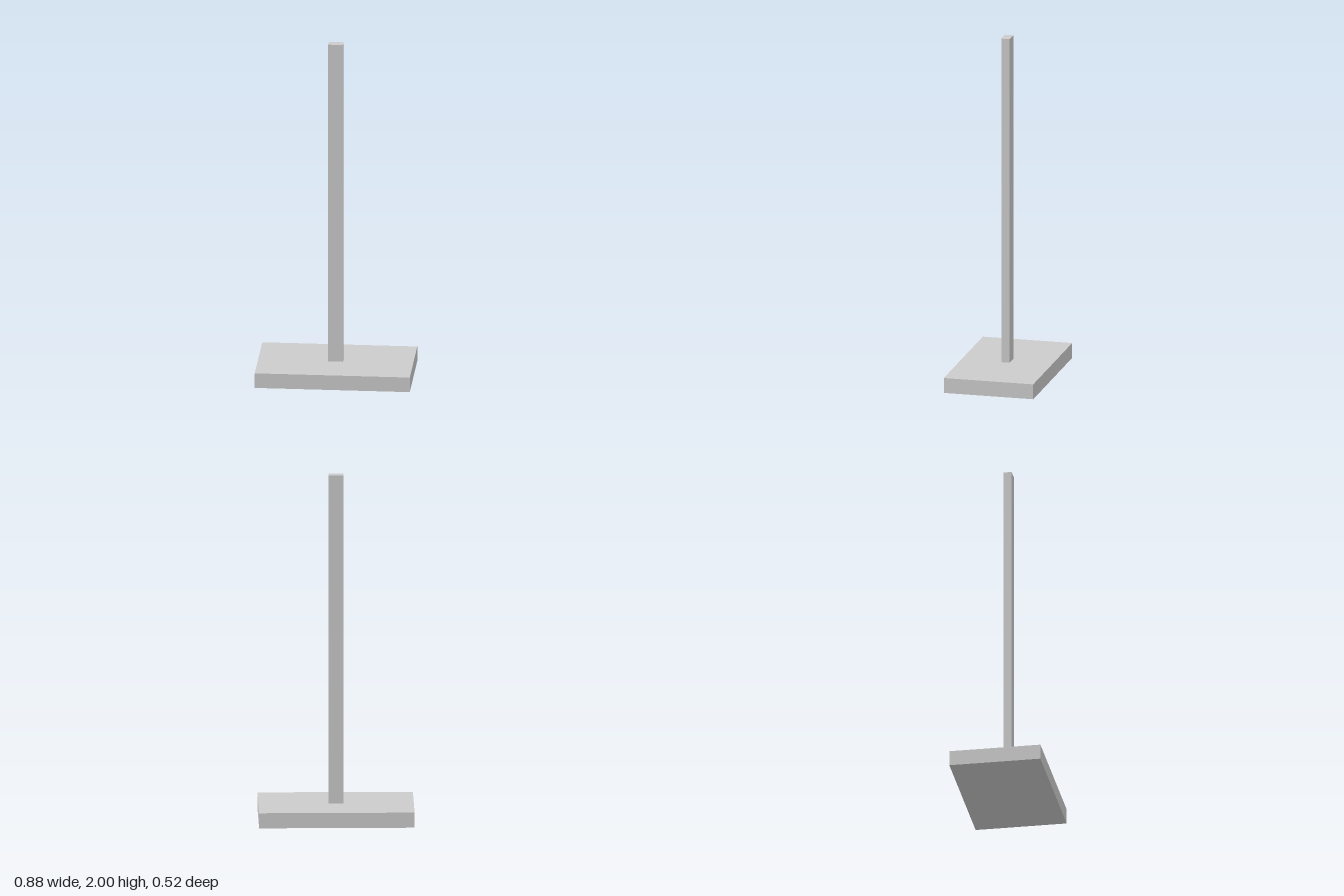
import * as THREE from 'three';

const material = new THREE.MeshStandardMaterial({ color: 0xcccccc });

// Box standing on the given height y
function block(name, width, height, depth, y, z) {
  const mesh = new THREE.Mesh(new THREE.BoxGeometry(width, height, depth), material);
  mesh.name = name;
  mesh.position.set(0, y + height / 2, z);
  return mesh;
}

export function createModel() {
  const model = new THREE.Group();
  model.name = 'postOnBase';

  const baseHeight = 0.088;

  // Flat rectangular foot
  model.add(block('base', 0.884, baseHeight, 0.525, 0, 0));

  // Slim upright, set slightly towards the front
  model.add(block('post', 0.084, 2 - baseHeight, 0.048, baseHeight, 0.004));

  return model;
}
